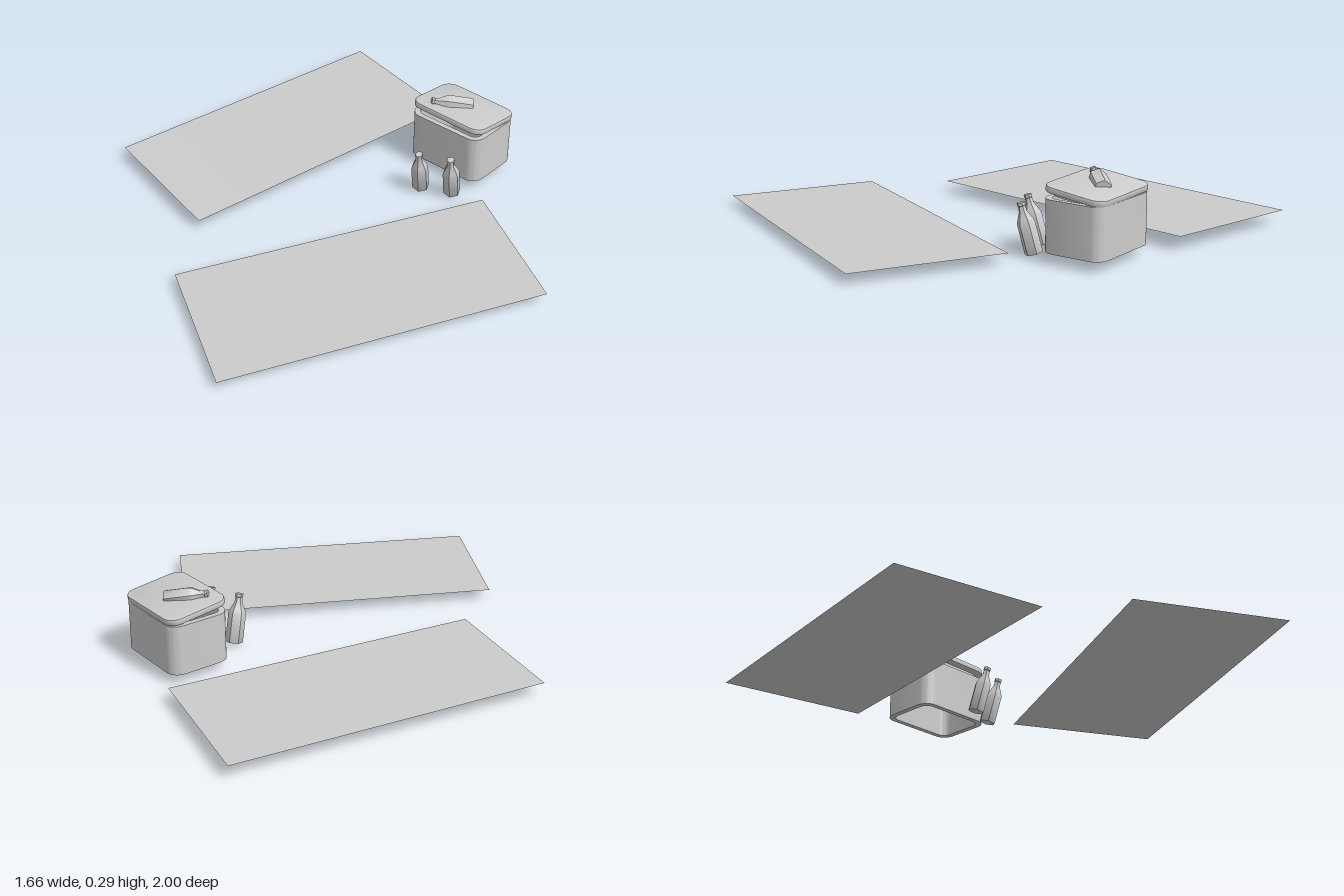
import * as THREE from 'three';
import { toCreasedNormals } from 'three/addons/utils/BufferGeometryUtils.js';

const smooth = new THREE.MeshStandardMaterial({ color: 0xcccccc });
const cloth = new THREE.MeshStandardMaterial({ color: 0xcccccc, side: THREE.DoubleSide });
const UP = new THREE.Vector3(0, 1, 0);

function named(name, geometry, material = smooth) {
  const mesh = new THREE.Mesh(geometry, material);
  mesh.name = name;
  return mesh;
}

// Rounded rectangle outline, centred on the origin
function roundRect(PathType, w, d, r) {
  const p = new PathType();
  const x = w / 2 - r, y = d / 2 - r;
  p.absarc(x, y, r, 0, Math.PI / 2);
  p.absarc(-x, y, r, Math.PI / 2, Math.PI);
  p.absarc(-x, -y, r, Math.PI, Math.PI * 1.5);
  p.absarc(x, -y, r, Math.PI * 1.5, Math.PI * 2);
  p.closePath();
  return p;
}

// Upright extrusion from y = 0 to y = h
function slab(shape, h, bevel = 0) {
  const g = new THREE.ExtrudeGeometry(shape, {
    depth: h - 2 * bevel, curveSegments: 8, bevelEnabled: bevel > 0,
    bevelSize: bevel, bevelOffset: -bevel, bevelThickness: bevel, bevelSegments: 2,
  });
  g.translate(0, 0, bevel).rotateX(-Math.PI / 2);
  return toCreasedNormals(g, 0.6);
}

// Four-cornered sheet; corners are [x, y, z] in order round the edge
function towel(name, corners) {
  const [a, b, c, d] = corners.map((p) => new THREE.Vector3(...p));
  const g = new THREE.PlaneGeometry(1, 1, 4, 8);
  const pos = g.attributes.position;
  for (let i = 0; i < pos.count; i++) {
    const u = pos.getX(i) + 0.5, v = 0.5 - pos.getY(i);
    const p = a.clone().lerp(b, u).lerp(d.clone().lerp(c, u), v);
    pos.setXYZ(i, p.x, p.y, p.z);
  }
  g.computeVertexNormals();
  return named(name, g, cloth);
}

// Six-sided bottle standing from base towards top
function bottle(name, base, top) {
  const from = new THREE.Vector3(...base), to = new THREE.Vector3(...top);
  const len = from.distanceTo(to);
  const profile = [
    [0, 0], [0.029, 0], [0.031, 0.02], [0.031, 0.6], [0.026, 0.68],
    [0.014, 0.82], [0.012, 0.93], [0.014, 0.94], [0.014, 1], [0, 1],
  ].map(([r, t]) => new THREE.Vector2(r, t * len));
  const mesh = named(name, toCreasedNormals(new THREE.LatheGeometry(profile, 6), 0.7));
  mesh.position.copy(from);
  mesh.quaternion.setFromUnitVectors(UP, to.sub(from).normalize());
  return mesh;
}

export function createModel() {
  const model = new THREE.Group();
  model.name = 'beachPicnicSet';

  // Towels spread on the ground
  model.add(
    towel('backTowel', [[-0.2, 0.05, -1], [0.23, 0.05, -0.68], [-0.4, 0.045, 0.27], [-0.83, 0.05, -0.06]]),
    towel('frontTowel', [[0.51, 0.04, -0.16], [0.83, 0.037, 0.28], [-0.05, 0.033, 1], [-0.37, 0.037, 0.56]]),
  );

  // Cool box: open-ended walls
  const wall = roundRect(THREE.Shape, 0.31, 0.23, 0.045);
  wall.holes.push(roundRect(THREE.Path, 0.27, 0.19, 0.03));
  const box = named('coolerBody', slab(wall, 0.178));
  box.position.set(0.365, 0.035, -0.42);
  box.rotation.y = -0.42;
  model.add(box);

  // Lid resting askew, with its inner plug
  const lid = new THREE.Group();
  lid.name = 'coolerLid';
  const top = named('lidTop', slab(roundRect(THREE.Shape, 0.312, 0.232, 0.045), 0.022, 0.004));
  const plug = named('lidPlug', slab(roundRect(THREE.Shape, 0.26, 0.18, 0.03), 0.014));
  plug.position.y = -0.013;
  lid.add(top, plug);
  lid.position.set(0.365, 0.226, -0.42);
  const tilt = new THREE.Quaternion().setFromUnitVectors(UP, new THREE.Vector3(0.065, 1, -0.104).normalize());
  lid.quaternion.setFromAxisAngle(UP, -0.42).premultiply(tilt);
  model.add(lid);

  // Two leaning bottles and one lying on the lid
  [['rightBottle', 0.268], ['leftBottle', 0.384]].forEach(([name, x]) =>
    model.add(bottle(name, [x, 0.008, -0.219], [x, 0.177, -0.174])));
  model.add(bottle('lidBottle', [0.392, 0.239, -0.443], [0.254, 0.268, -0.392]));

  return model;
}
